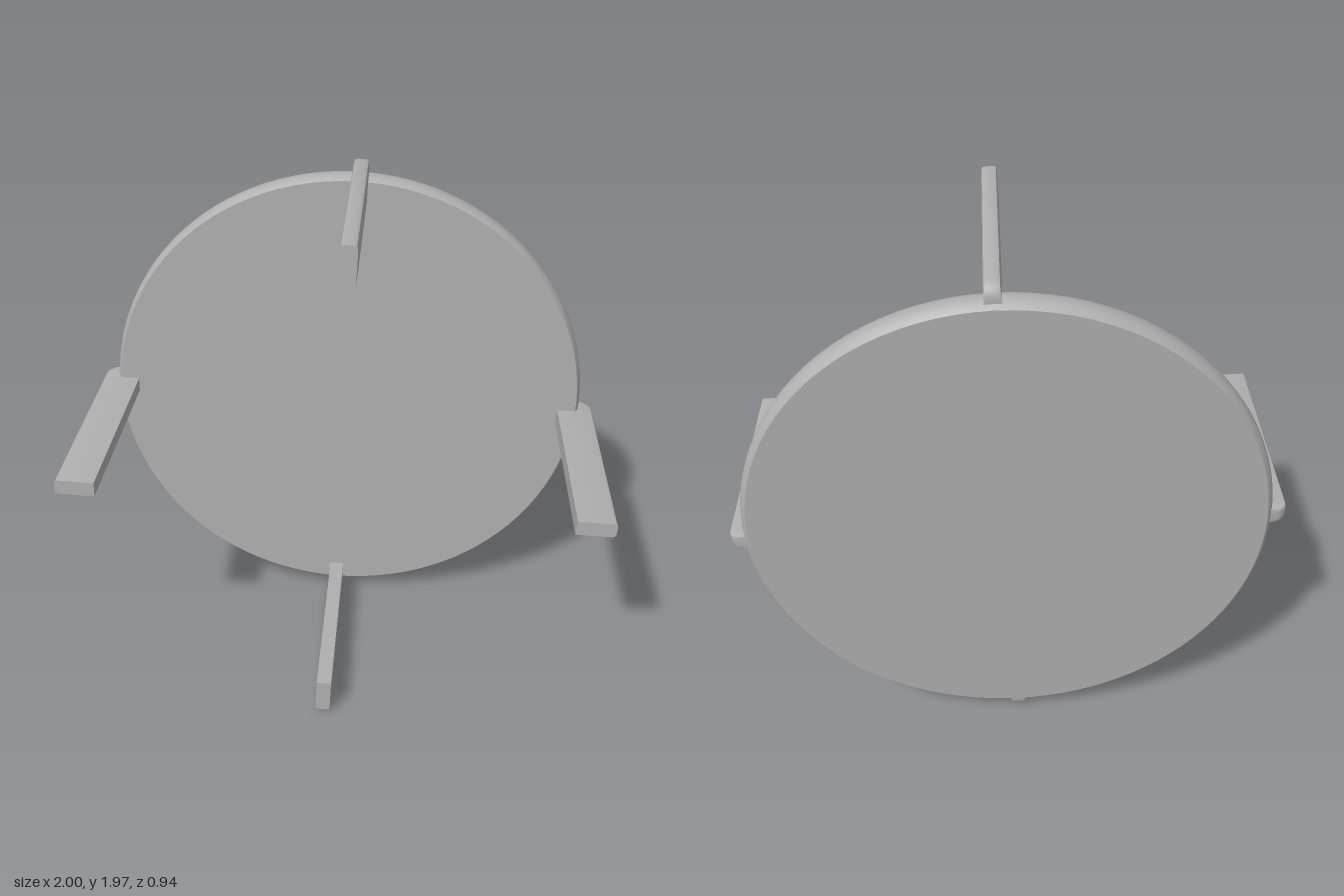
import * as THREE from 'three';
import { toCreasedNormals } from 'three/addons/utils/BufferGeometryUtils.js';

const LEG_LENGTH = 0.82, LEG_INNER = 0.839, LEG_OUTER = 0.979, LEG_HALF_WIDTH = 0.028;

// Leg section (x = width, y = distance from the table axis), swept along z
// with the outer corner at the tabletop end rounded off.
function legGeometry() {
  const w = LEG_HALF_WIDTH, c = 0.012, round = 0.045, steps = 6;
  const section = new THREE.Shape([
    [-w, LEG_INNER], [w, LEG_INNER],
    [w, LEG_OUTER - c], [w - c * 0.3, LEG_OUTER - c * 0.3], [w - c, LEG_OUTER],
    [-w + c, LEG_OUTER], [-w + c * 0.3, LEG_OUTER - c * 0.3], [-w, LEG_OUTER - c],
  ].map(([x, y]) => new THREE.Vector2(x, y)));
  const geometry = new THREE.ExtrudeGeometry(section, { depth: steps, steps, bevelEnabled: false });
  const pos = geometry.attributes.position;
  for (let i = 0; i < pos.count; i++) {
    const step = Math.round(pos.getZ(i));
    if (step === steps) {
      pos.setZ(i, 0);
      continue;
    }
    const t = (step / (steps - 1)) * Math.PI / 2;
    pos.setZ(i, -LEG_LENGTH + round * (1 - Math.cos(t)));
    if (pos.getY(i) > 0.9) pos.setY(i, pos.getY(i) - round * (1 - Math.sin(t)));
  }
  return toCreasedNormals(geometry, 0.6);
}

// Round top with a softly rounded rim
function topGeometry() {
  const profile = [
    [0, -0.835], [0.905, -0.835], [0.918, -0.822], [0.925, -0.803],
    [0.925, -0.775], [0.92, -0.755], [0.91, -0.74], [0, -0.74],
  ].map(([r, y]) => new THREE.Vector2(r, y));
  const geometry = new THREE.LatheGeometry(profile, 96);
  geometry.rotateX(Math.PI / 2);
  return toCreasedNormals(geometry, 0.6);
}

export function createModel() {
  const grey = new THREE.MeshStandardMaterial({ color: 0xb0b0b0 });
  grey.name = 'plain grey';

  const table = new THREE.Group();
  table.name = 'table';

  const top = new THREE.Mesh(topGeometry(), grey);
  top.name = 'tableTop';
  table.add(top);

  // Four legs around the rim
  const geometry = legGeometry();
  ['upperLeg', 'rightLeg', 'lowerLeg', 'leftLeg'].forEach((name, i) => {
    const leg = new THREE.Mesh(geometry, grey);
    leg.name = name;
    leg.rotation.z = i * Math.PI / 2;
    table.add(leg);
  });

  // The table lies on its side, slightly tilted and rolled
  table.rotation.set(-0.023, 0.054, -0.048);
  table.position.set(0.0175, 1.0, 0.413);

  const model = new THREE.Group();
  model.name = 'roundTable';
  model.add(table);
  return model;
}
